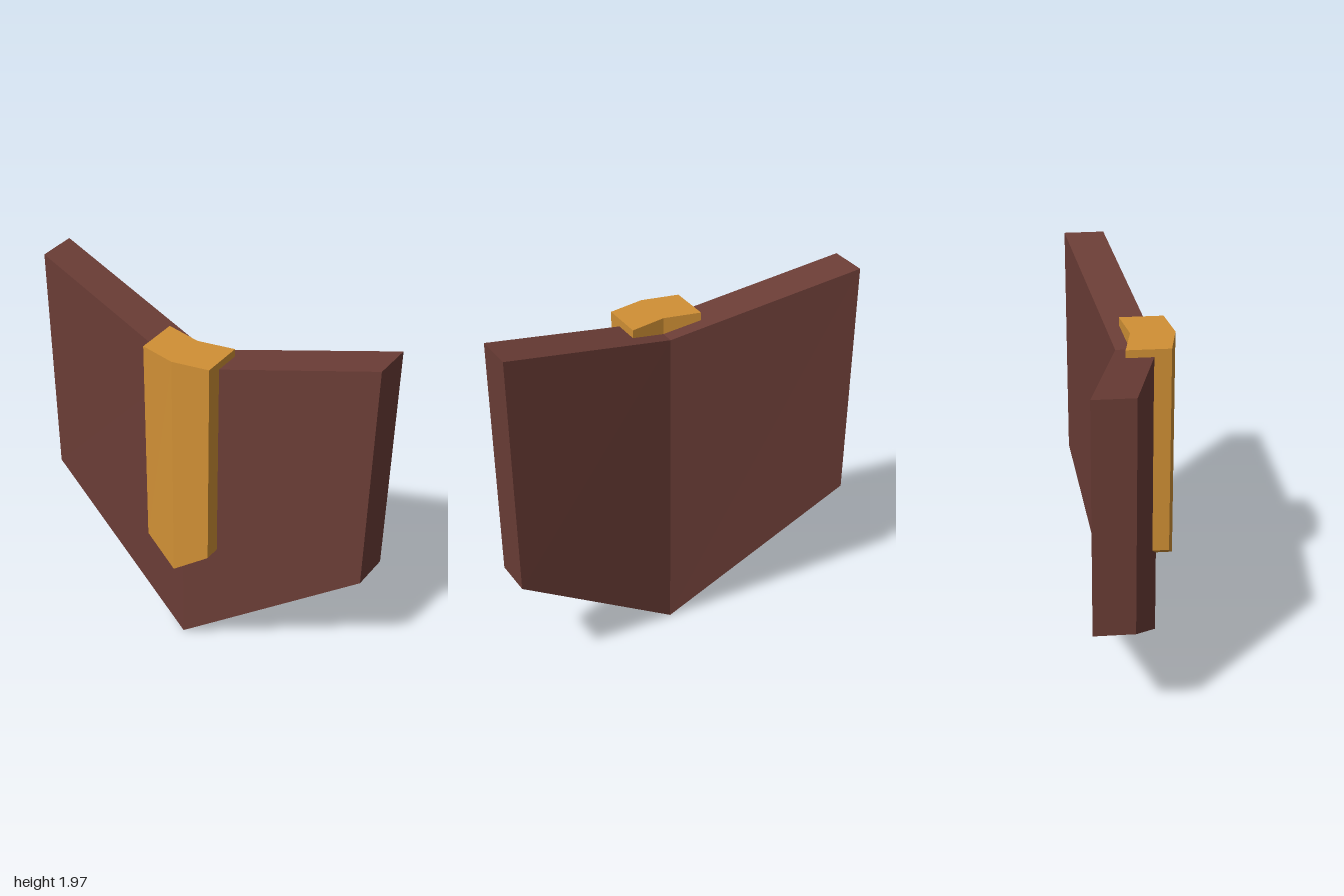
import * as THREE from 'three';

// Lofts a bent, mirrored slab through three four-cornered sections: right edge, centre, left edge.
// Each section is top/bottom height with its half-widths, plus front/back depth.
function bentSlab(edge, centre) {
  const section = (s, side) => [
    [side * s.topX, s.top, s.front],
    [side * s.topX, s.top, s.back],
    [side * s.bottomX, s.bottom, s.back],
    [side * s.bottomX, s.bottom, s.front],
  ];
  const rings = [section(edge, -1), section(centre, 0), section(edge, 1)];
  const points = [];
  const quad = (a, b, c, d) => points.push(...a, ...b, ...c, ...a, ...c, ...d);
  for (let r = 0; r < 2; r++) {
    const a = rings[r], b = rings[r + 1];
    for (let i = 0; i < 4; i++) {
      const j = (i + 1) % 4;
      quad(a[i], b[i], b[j], a[j]);
    }
  }
  // End caps
  quad(...rings[0]);
  quad(...[...rings[2]].reverse());

  const geometry = new THREE.BufferGeometry();
  geometry.setAttribute('position', new THREE.Float32BufferAttribute(points, 3));
  geometry.computeVertexNormals(); // unshared corners keep every face flat
  return geometry;
}

export function createModel() {
  const brown = new THREE.MeshStandardMaterial({ color: 0x6b3d36 });
  brown.name = 'dark brown';
  const gold = new THREE.MeshStandardMaterial({ color: 0xd09035 });
  gold.name = 'gold';

  const group = new THREE.Group();
  group.name = 'shield';

  // Angled plate with a pointed foot and raised upper corners
  const plate = new THREE.Mesh(
    bentSlab(
      { topX: 1, bottomX: 0.968, top: 1.97, bottom: 0.66, front: -0.037, back: -0.25 },
      { topX: 0, bottomX: 0, top: 1.73, bottom: 0, front: 0.162, back: -0.055 },
    ),
    brown,
  );
  plate.name = 'shieldPlate';

  // Raised central rib with a flat top and pointed lower end
  const rib = new THREE.Mesh(
    bentSlab(
      { topX: 0.196, bottomX: 0.191, top: 1.82, bottom: 0.64, front: 0.211, back: -0.02 },
      { topX: 0, bottomX: 0, top: 1.82, bottom: 0.505, front: 0.25, back: 0.02 },
    ),
    gold,
  );
  rib.name = 'centreRib';

  group.add(plate, rib);
  return group;
}
